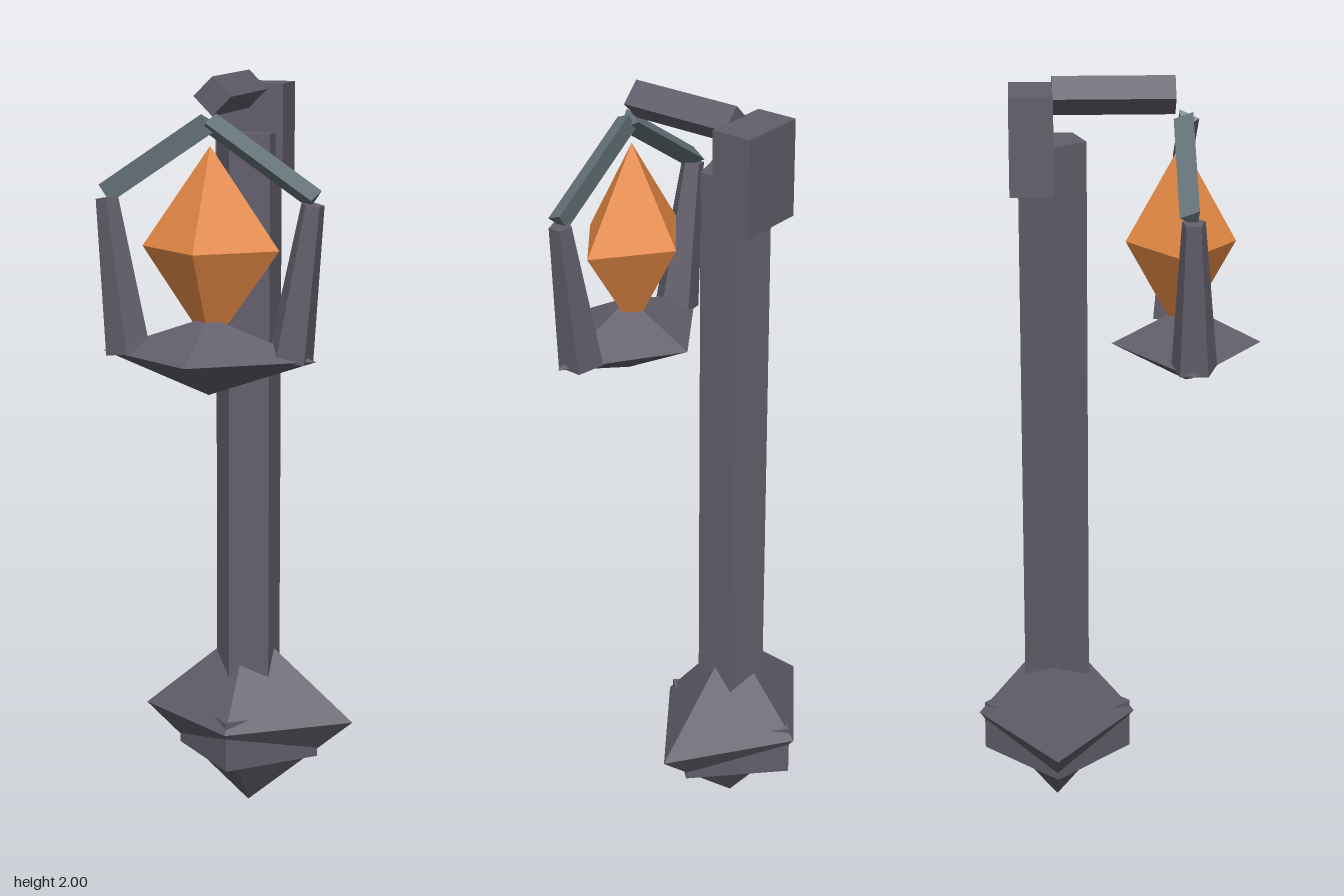
import * as THREE from 'three';

const material = (color) => new THREE.MeshStandardMaterial({ color, flatShading: true });
const rad = THREE.MathUtils.degToRad;
const UP = new THREE.Vector3(0, 1, 0);

export function createModel() {
  const model = new THREE.Group();
  model.name = 'lampPost';
  const stone = material(0x625e6b);
  const slate = material(0x65737a);
  const amber = material(0xe88b45);

  const add = (name, geometry, mat, x, y, z, parent = model) => {
    const mesh = new THREE.Mesh(geometry, mat);
    mesh.name = name;
    mesh.position.set(x, y, z);
    parent.add(mesh);
    return mesh;
  };

  // Octahedron stretched to its own radius on each axis
  const gem = (rx, ry, rz) => new THREE.OctahedronGeometry(1).scale(rx, ry, rz);

  // Prism or taper running between two points, turned by start degrees
  const strut = (name, from, to, rFrom, rTo, sides, start, mat, parent) => {
    const a = new THREE.Vector3(...from);
    const b = new THREE.Vector3(...to);
    const dir = b.clone().sub(a);
    const geometry = new THREE.CylinderGeometry(rTo, rFrom, dir.length(), sides, 1, false, rad(start));
    const mid = a.add(b).multiplyScalar(0.5);
    const mesh = add(name, geometry, mat, mid.x, mid.y, mid.z, parent);
    mesh.quaternion.setFromUnitVectors(UP, dir.normalize());
    return mesh;
  };

  // Base: pointed rock pierced by a square collar
  add('baseRock', gem(0.295, 0.252, 0.21), stone, 0, 0.254, -0.162);
  add('baseCollar', new THREE.CylinderGeometry(0.197, 0.197, 0.135, 4), stone, 0, 0.217, -0.16);

  // Five-sided pole, head block and diamond-section arm
  strut('pole', [0, 0.25, -0.16], [0, 1.84, -0.16], 0.09, 0.09, 5, -90, stone);
  add('headBlock', new THREE.BoxGeometry(0.184, 0.25, 0.11), stone, 0, 1.84, -0.212);
  strut('arm', [0, 1.95, -0.16], [0, 1.95, 0.147], 0.049, 0.049, 4, 0, stone);

  // Lantern dish and glowing crystal
  add('lanternDish', gem(0.282, 0.1, 0.192), stone, 0, 1.305, 0.18);
  add('crystal', gem(0.18, 0.255, 0.14), amber, 0, 1.575, 0.164);

  // Side post and roof bar, repeated by a half turn about the lantern axis
  for (const [side, turn] of [['left', 0], ['right', Math.PI]]) {
    const half = new THREE.Group();
    half.name = side + 'LanternFrame';
    half.position.z = 0.175;
    half.rotation.y = turn;
    strut(side + 'Post', [0.21, 1.305, -0.012], [0.268, 1.695, -0.003], 0.06, 0.03, 5, -21.5, stone, half);
    strut(side + 'RoofBar', [0, 1.888, 0.001], [0.272, 1.706, 0.001], 0.031, 0.031, 3, -3, slate, half);
    model.add(half);
  }

  return model;
}
